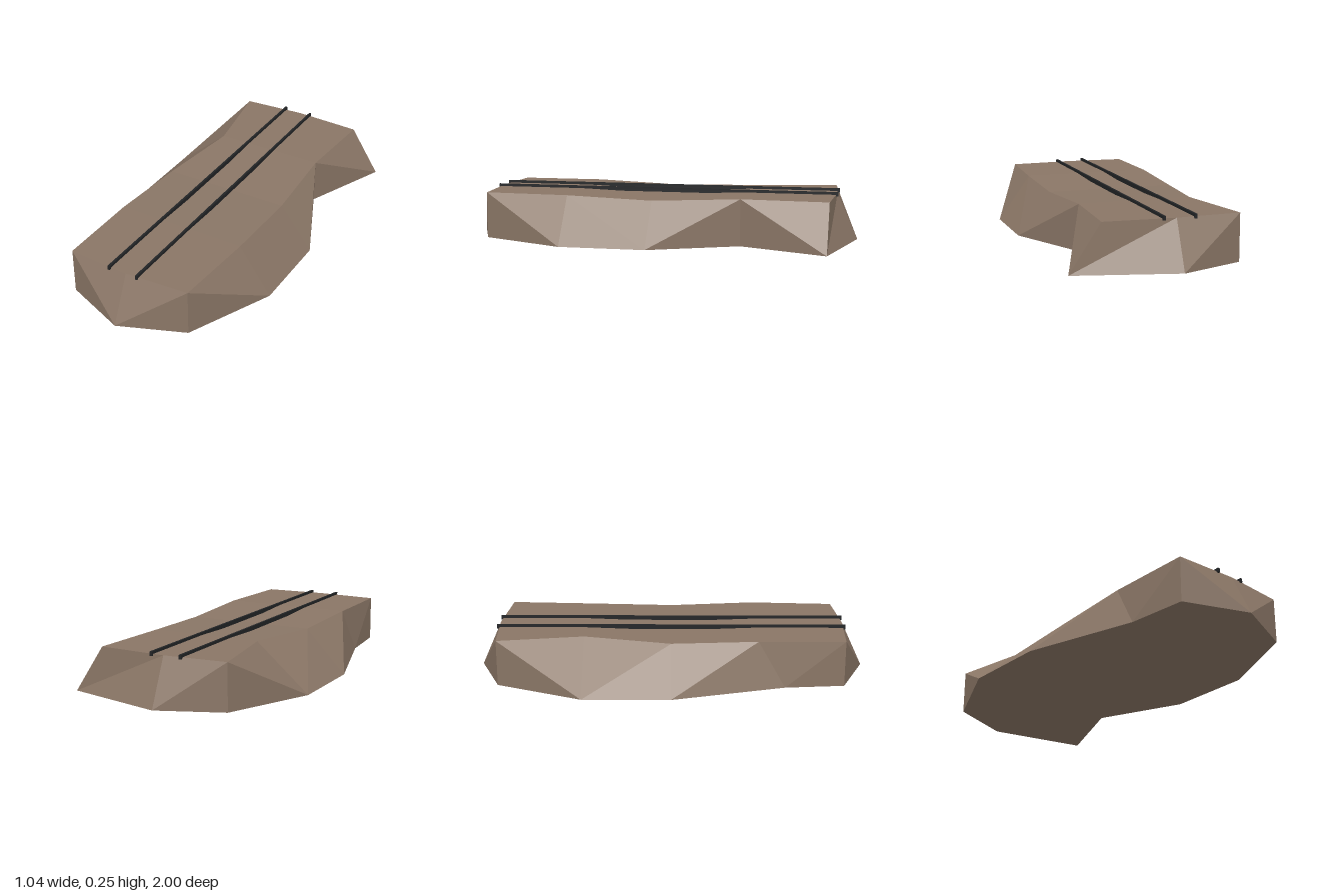
import * as THREE from 'three';

const BASE_Y = 0.004, TOP_Y = 0.238, DIP_Y = 0.222;

// Each corner: base x, base z, top x, top z, top height; from the back tip round by the left side
const corners = [
  [0, -1, 0, -0.895, TOP_Y],
  [0.505, -0.875, 0.35, -0.875, TOP_Y],
  [0.325, -0.44, 0.325, -0.44, TOP_Y],
  [0.52, 0, 0.35, 0, DIP_Y],
  [0.52, 0.435, 0.352, 0.435, TOP_Y],
  [0.325, 0.87, 0.325, 0.87, TOP_Y],
  [0, 1, 0, 0.89, TOP_Y],
  [-0.322, 0.87, -0.322, 0.87, TOP_Y],
  [-0.35, 0.57, -0.325, 0.435, TOP_Y],
  [-0.52, 0, -0.312, 0, DIP_Y],
  [-0.52, -0.44, -0.248, -0.44, TOP_Y],
  [-0.322, -0.875, -0.322, -0.875, TOP_Y],
];

function moundGeometry() {
  const n = corners.length;
  const base = corners.map(([x, z]) => [x, BASE_Y, z]);
  const top = corners.map(([, , x, z, y]) => [x, y, z]);
  const slope = corners.map(([bx, bz, tx, tz]) => Math.hypot(bx - tx, bz - tz));
  const positions = [];
  const tri = (...points) => points.forEach((p) => positions.push(...p));

  for (let i = 0; i < n; i++) {
    const j = (i + 1) % n;
    // Sloping sides, split so that each fold points outward
    if (slope[j] >= slope[i]) {
      tri(base[j], base[i], top[i]);
      tri(base[j], top[i], top[j]);
    } else {
      tri(base[j], base[i], top[j]);
      tri(base[i], top[i], top[j]);
    }
    // Underside
    tri([0, 0, 0], base[i], base[j]);
  }

  // Upper surface: end triangles and cross strips
  tri(top[0], top[11], top[1]);
  tri(top[5], top[7], top[6]);
  for (let k = 0; k < 4; k++) {
    const l0 = top[11 - k], l1 = top[10 - k], r0 = top[1 + k], r1 = top[2 + k];
    tri(l0, l1, r1);
    tri(l0, r1, r0);
  }

  const geometry = new THREE.BufferGeometry();
  geometry.setAttribute('position', new THREE.Float32BufferAttribute(positions, 3));
  geometry.computeVertexNormals(); // unshared corners give flat facets
  return geometry;
}

export function createModel() {
  const earth = new THREE.MeshStandardMaterial({ color: 0x8a7666 });
  earth.name = 'earth brown';
  const iron = new THREE.MeshStandardMaterial({ color: 0x222426 });
  iron.name = 'dark iron';

  const model = new THREE.Group();
  model.name = 'railEmbankment';

  const mound = new THREE.Mesh(moundGeometry(), earth);
  mound.name = 'mound';
  model.add(mound);

  // Pair of rails along the top
  const railGeometry = new THREE.BoxGeometry(0.012, 0.021, 1.8);
  for (const [name, x] of [['rightRail', -0.092], ['leftRail', 0.062]]) {
    const rail = new THREE.Mesh(railGeometry, iron);
    rail.name = name;
    rail.position.set(x, 0.2405, -0.003);
    model.add(rail);
  }
  return model;
}
